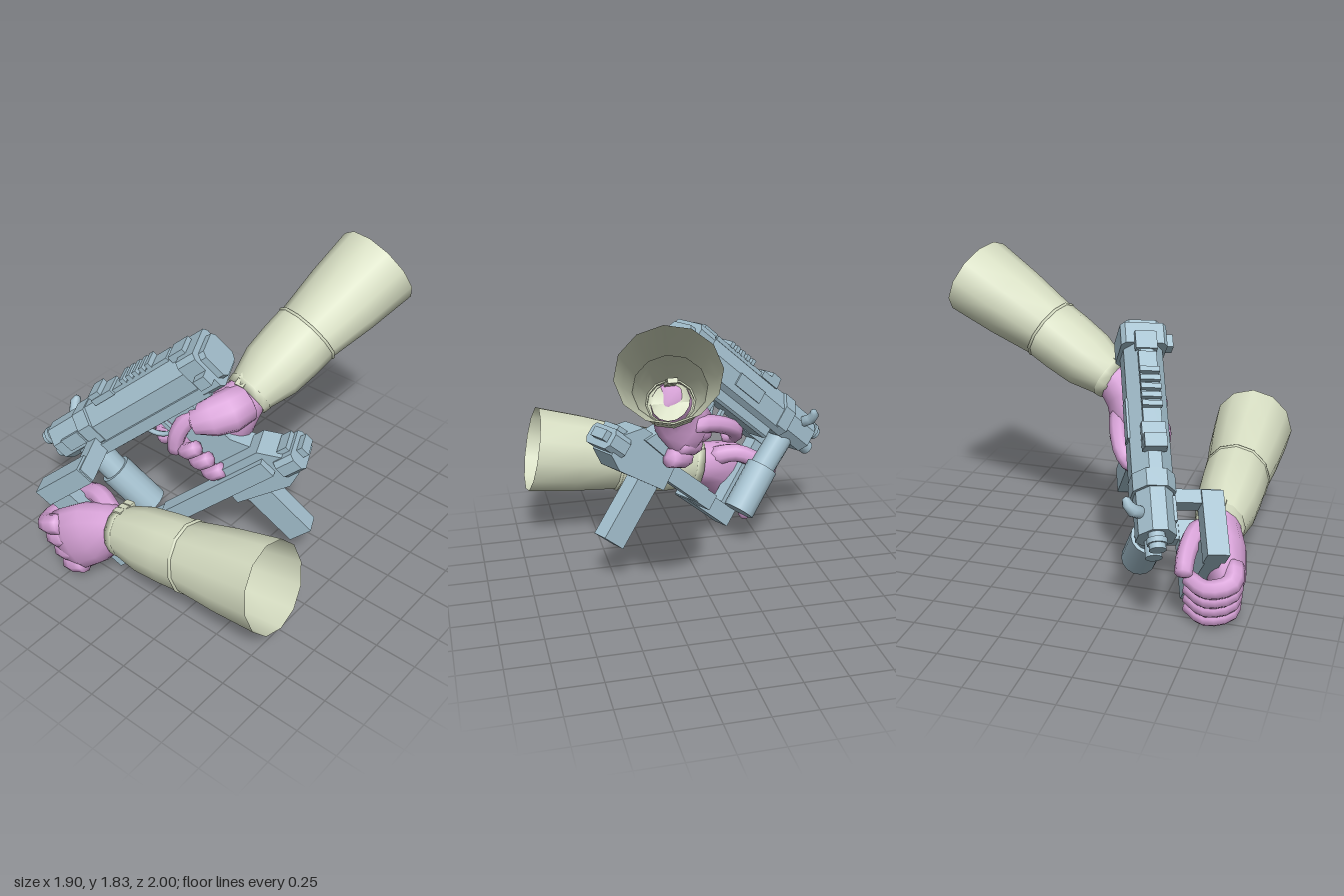
import * as THREE from 'three';

const mat = (name, color, side = THREE.FrontSide) => {
  const m = new THREE.MeshStandardMaterial({ color, side });
  m.name = name;
  return m;
};
const V = (a) => new THREE.Vector3(a[0], a[1], a[2]);

// Skin through elliptical rings [x, y, z, a, b]; radius a lies along ref
function loft(rings, ref, sides, capStart = true, capEnd = true) {
  const pos = [], idx = [], n = rings.length;
  const c = rings.map(V);
  rings.forEach((r, i) => {
    const T = c[Math.min(i + 1, n - 1)].clone().sub(c[Math.max(i - 1, 0)]).normalize();
    const A = V(ref).addScaledVector(T, -V(ref).dot(T)).normalize();
    const B = T.clone().cross(A);
    for (let j = 0; j < sides; j++) {
      const t = (j / sides) * Math.PI * 2;
      const p = c[i].clone().addScaledVector(A, Math.cos(t) * r[3]).addScaledVector(B, Math.sin(t) * (r[4] ?? r[3]));
      pos.push(p.x, p.y, p.z);
      const k = (j + 1) % sides, o = i * sides;
      if (i < n - 1) idx.push(o + j, o + k, o + sides + j, o + k, o + sides + k, o + sides + j);
    }
  });
  const cap = (e, next) => {
    const q = c[e].clone().addScaledVector(c[e].clone().sub(c[next]).normalize(), rings[e][3] * 0.4);
    const m = pos.length / 3;
    pos.push(q.x, q.y, q.z);
    for (let j = 0; j < sides; j++) {
      const a = e * sides + j, b = e * sides + ((j + 1) % sides);
      if (e) idx.push(a, b, m); else idx.push(b, a, m);
    }
  };
  if (capStart) cap(0, 1);
  if (capEnd) cap(n - 1, n - 2);
  const g = new THREE.BufferGeometry();
  g.setAttribute('position', new THREE.Float32BufferAttribute(pos, 3));
  g.setIndex(idx);
  g.computeVertexNormals();
  return g;
}

export function createModel() {
  const root = new THREE.Group();
  root.name = 'gunWithTwoArms';
  const steel = mat('blueSteel', 0xa4c0ce);
  const skin = mat('pinkGlove', 0xd9a4d9, THREE.DoubleSide);
  const cloth = mat('paleSleeve', 0xd6ddc2, THREE.DoubleSide);
  const add = (parent, name, geo, m) => {
    const mesh = new THREE.Mesh(geo, m);
    mesh.name = name;
    parent.add(mesh);
    return mesh;
  };

  // ---- Gun, built along x (muzzle to rear), y up, z to its left
  const gun = new THREE.Group();
  gun.name = 'gun';
  const bx = new THREE.Vector3(0.70, 0.66, -0.27).normalize();
  const by = new THREE.Vector3(-0.6, 0.72, 0.34);
  by.addScaledVector(bx, -by.dot(bx)).normalize();
  const bz = bx.clone().cross(by);
  gun.quaternion.setFromRotationMatrix(new THREE.Matrix4().makeBasis(bx, by, bz));
  gun.position.set(-0.9, 0.63, 0.57);
  root.add(gun);

  const box = (name, x0, x1, y0, y1, z0, z1) => {
    const m = add(gun, name, new THREE.BoxGeometry(x1 - x0, y1 - y0, z1 - z0), steel);
    m.position.set((x0 + x1) / 2, (y0 + y1) / 2, (z0 + z1) / 2);
  };
  // Bar with chamfered corners along the gun: lo = bottom chamfer, hi = top chamfer
  const bar = (name, x0, x1, y0, y1, w, lo, hi = lo, zc = 0.03) => {
    const s = new THREE.Shape([
      [-w, y0 + lo], [-w + lo, y0], [w - lo, y0], [w, y0 + lo],
      [w, y1 - hi], [w - hi * 0.75, y1], [-w + hi * 0.75, y1], [-w, y1 - hi],
    ].map((p) => new THREE.Vector2(p[0], p[1])));
    const g = new THREE.ExtrudeGeometry(s, { depth: x1 - x0, bevelEnabled: false });
    g.rotateY(Math.PI / 2).translate(x0, 0, zc);
    add(gun, name, g, steel);
  };
  // Upright plate with a side profile in x and y
  const plate = (name, pts, z0, z1) => {
    const g = new THREE.ExtrudeGeometry(new THREE.Shape(pts.map((p) => new THREE.Vector2(p[0], p[1]))),
      { depth: z1 - z0, bevelEnabled: false });
    g.translate(0, 0, z0);
    add(gun, name, g, steel);
  };
  const rod = (name, r, a, b, sides = 14) => {
    const A = V(a), B = V(b), d = B.clone().sub(A);
    const m = add(gun, name, new THREE.CylinderGeometry(r, r, d.length(), sides), steel);
    m.position.copy(A).add(B).multiplyScalar(0.5);
    m.quaternion.setFromUnitVectors(new THREE.Vector3(0, 1, 0), d.normalize());
  };

  // Receiver and muzzle
  bar('receiver', 0.38, 1.2, -0.16, 0.085, 0.11, 0.03, 0.1);
  bar('foreEnd', 0.06, 0.4, -0.15, 0.08, 0.1, 0.05, 0.08);
  bar('lowerReceiver', 0.4, 1.16, -0.23, -0.14, 0.08, 0.015);
  bar('frontCollar', 0.3, 0.4, -0.16, 0.09, 0.115, 0.04, 0.08);
  rod('barrel', 0.045, [-0.03, 0.02, 0.02], [0.1, 0.02, 0.02]);
  rod('barrelCollar', 0.055, [0.0, 0.02, 0.02], [0.03, 0.02, 0.02]);
  rod('guideTube', 0.045, [-0.03, -0.09, 0.02], [0.1, -0.09, 0.02]);
  box('sidePanel', 0.14, 0.28, -0.08, 0.01, 0.11, 0.14);
  box('ejectionCover', 0.62, 0.86, -0.09, -0.01, -0.09, -0.075);
  // Rear cap with charging handle
  bar('rearCap', 1.17, 1.3, -0.2, 0.065, 0.13, 0.03, 0.03);
  bar('rearPlate', 1.29, 1.34, -0.17, 0.03, 0.1, 0.03);
  box('chargingHandle', 1.22, 1.3, -0.12, -0.05, 0.15, 0.215);
  box('rearSight', 1.12, 1.23, 0.05, 0.095, -0.03, 0.09);
  // Top rail and sights
  box('topRail', 0.52, 1.1, 0.07, 0.095, -0.02, 0.08);
  for (let i = 0; i < 5; i++) box('railTooth', 0.75 + i * 0.052, 0.78 + i * 0.052, 0.09, 0.125, -0.025, 0.085);
  box('frontSight', 0.5, 0.66, 0.07, 0.11, -0.035, 0.095);
  box('frontSightStep', 0.5, 0.58, 0.1, 0.14, -0.03, 0.09);
  add(gun, 'sideHook', loft([[0.18, 0.01, -0.05, 0.035], [0.18, 0.04, -0.1, 0.035], [0.2, 0.07, -0.13, 0.03], [0.23, 0.08, -0.14, 0.02]], [1, 0, 0], 10), steel);

  // Trigger, grip, grip base and magazine
  const guard = add(gun, 'triggerGuard', new THREE.TorusGeometry(0.11, 0.016, 6, 18, Math.PI), steel);
  guard.position.set(0.72, -0.22, 0.05);
  guard.rotation.z = Math.PI;
  box('trigger', 0.72, 0.745, -0.32, -0.22, 0.035, 0.065);
  plate('grip', [[0.84, -0.2], [1.04, -0.2], [1.06, -0.5], [1.16, -0.66], [0.86, -0.68]], 0.02, 0.14);
  plate('gripBase', [[0.86, -0.6], [1.2, -0.6], [1.32, -0.72], [1.31, -0.84], [1.2, -0.89], [0.84, -0.84]], 0.04, 0.23);
  bar('baseTail', 1.24, 1.37, -0.83, -0.7, 0.12, 0.03, 0.03, 0.14);
  box('tailClip', 1.36, 1.41, -0.79, -0.73, 0.06, 0.18);
  box('tailTab', 1.28, 1.35, -0.71, -0.67, 0.06, 0.2);
  box('magazine', 0.87, 1.03, -1.26, -0.8, 0.07, 0.18);

  // Front grip
  rod('frontGrip', 0.1, [0.2, -0.36, 0.06], [0.2, -0.68, 0.06], 16);
  rod('frontGripNeck', 0.08, [0.2, -0.1, 0.04], [0.2, -0.37, 0.06]);

  // Folded side frame: butt plate, two legs, cross pieces and long bars to the rear
  box('buttPlate', -0.02, 0.13, -0.7, -0.1, 0.31, 0.4);
  box('upperLeg', -0.02, 0.35, -0.185, -0.065, 0.3, 0.42);
  box('lowerLeg', -0.01, 0.42, -0.77, -0.655, 0.3, 0.42);
  box('upperCrossPiece', 0.28, 0.36, -0.185, -0.08, 0.08, 0.41);
  box('lowerCrossPiece', 0.31, 0.43, -0.765, -0.66, 0.18, 0.41);
  box('upperBar', 0.34, 1.2, -0.2, -0.13, 0.09, 0.155);
  box('lowerBar', 0.4, 1.2, -0.76, -0.65, 0.18, 0.27);

  // ---- Sleeves: open tubes with a step at the forearm seam and a wrist cuff
  const sleeve = (name, w, m, e, ref, r, strap, tilt) => {
    const W = V(w), M = V(m), E = V(e);
    const ring = (A, B, t, a) => [...A.clone().lerp(B, t).toArray(), a, a * 0.9];
    const g = new THREE.Group();
    g.name = name;
    root.add(g);
    const tube = (part, rings) => add(g, part, loft(rings, ref, 12, false, false), cloth);
    tube('forearmSleeve', [ring(W, M, 0, r[0]), ring(W, M, 0.4, r[1] * 0.93), ring(W, M, 0.75, r[1] * 0.99), ring(W, M, 1, r[1])]);
    tube('seamBand', [ring(W, M, 0.99, r[1]), ring(W, M, 0.995, r[1] + 0.006), ring(W, M, 1.02, r[1] + 0.006), ring(W, M, 1.025, r[1] - 0.006)]);
    tube('upperSleeve', [ring(M, E, 0, r[1] - 0.006), ring(M, E, 0.5, (r[1] + r[2]) / 2 + 0.004), ring(M, E, 1, r[2])]);
    tube('wristCuff', [ring(W, M, -0.02, r[0] - 0.015), ring(W, M, -0.02, r[0] + 0.006), ring(W, M, 0.07, r[0] + 0.014), ring(W, M, 0.08, r[0])]);
    const s = new THREE.Group();
    s.name = 'wristStrap';
    s.position.set(...strap);
    s.rotation.set(...tilt);
    g.add(s);
    for (let i = -1; i <= 1; i++) add(s, 'strapRib', new THREE.BoxGeometry(0.06, 0.03, 0.036), cloth).position.z = i * 0.042;
  };
  sleeve('lowerSleeve', [-0.18, 0.42, 0.765], [0.34, 0.52, 0.76], [0.892, 0.633, 0.752], [0, 1, 0],
    [0.15, 0.217, 0.272], [-0.18, 0.57, 0.74], [0, 0, 0.2]);
  sleeve('rearSleeve', [0.155, 1.125, 0.045], [0.25, 1.36, -0.37], [0.37, 1.62, -0.882], [1, 0, 0],
    [0.135, 0.208, 0.27], [0.15, 1.245, 0.06], [0.5, 0, 0]);

  // ---- Hands
  const digit = (parent, name, pts, ref, r) => add(parent, name,
    loft(new THREE.CatmullRomCurve3(pts.map(V)).getPoints(9).map((p, i) => [p.x, p.y, p.z, r * (1.04 - i * 0.03)]), ref, 8), skin);

  // Left hand over the butt plate, open at the wrist
  const front = new THREE.Group();
  front.name = 'frontHand';
  root.add(front);
  add(front, 'palm', loft([
    [-0.14, 0.43, 0.765, 0.13, 0.12], [-0.24, 0.41, 0.78, 0.15, 0.13], [-0.35, 0.355, 0.83, 0.19, 0.13],
    [-0.46, 0.275, 0.87, 0.2, 0.11], [-0.55, 0.23, 0.885, 0.18, 0.075],
  ], [0.5, -0.8, 0], 14, false), skin);
  for (let i = 0; i < 4; i++) {
    const t = i / 3, x = -0.565 + 0.14 * t, y = 0.35 - 0.25 * t, z = 0.93 - 0.03 * t;
    digit(front, 'finger', [[x + 0.04, y + 0.03, z - 0.01], [x - 0.07, y - 0.02, z],
      [x - 0.12, y - 0.045, z - 0.12], [x - 0.05, y - 0.03, z - 0.23]], [0.5, -0.85, -0.1], 0.062 - 0.005 * t);
  }
  digit(front, 'thumb', [[-0.28, 0.47, 0.74], [-0.42, 0.5, 0.69], [-0.56, 0.44, 0.67], [-0.67, 0.37, 0.68]], [0, 0, 1], 0.064);

  // Right hand around the grip
  const rear = new THREE.Group();
  rear.name = 'rearHand';
  root.add(rear);
  add(rear, 'palm', loft([
    [0.16, 1.14, 0.03, 0.12, 0.11], [0.14, 1.09, 0.09, 0.14, 0.12], [0.1, 1.01, 0.14, 0.17, 0.11],
    [0.03, 0.93, 0.16, 0.18, 0.09], [-0.04, 0.87, 0.18, 0.15, 0.07],
  ], [0.55, -0.65, -0.3], 14, false), skin);
  add(rear, 'thumbBase', loft([[0.17, 1.11, 0.09, 0.12], [0.14, 1.09, 0.19, 0.125, 0.11], [0.08, 1.07, 0.27, 0.115, 0.09],
    [0.0, 1.04, 0.335, 0.08]], [0.6, -0.7, 0], 12), skin);
  digit(rear, 'thumb', [[0.06, 1.09, 0.28], [-0.03, 1.04, 0.34], [-0.075, 0.94, 0.385], [-0.09, 0.82, 0.39]], [1, 0, 0], 0.06);
  digit(rear, 'triggerFinger', [[0.0, 0.95, 0.12], [-0.16, 0.92, 0.17], [-0.28, 0.85, 0.23], [-0.29, 0.79, 0.28], [-0.23, 0.79, 0.31]], [0.55, -0.65, -0.3], 0.055);
  for (let i = 0; i < 3; i++) {
    const x = 0.065 * i, y = -0.065 * i, z = -0.03 * i;
    digit(rear, 'gripFinger', [[0.03 + x, 0.9 + y, 0.14 + z], [-0.07 + x, 0.86 + y, 0.2 + z], [-0.09 + x, 0.835 + y, 0.31 + z],
      [-0.01 + x, 0.85 + y, 0.385 + z], [0.06 + x, 0.9 + y, 0.37 + z]], [0.6, -0.7, -0.3], 0.058);
  }
  return root;
}
